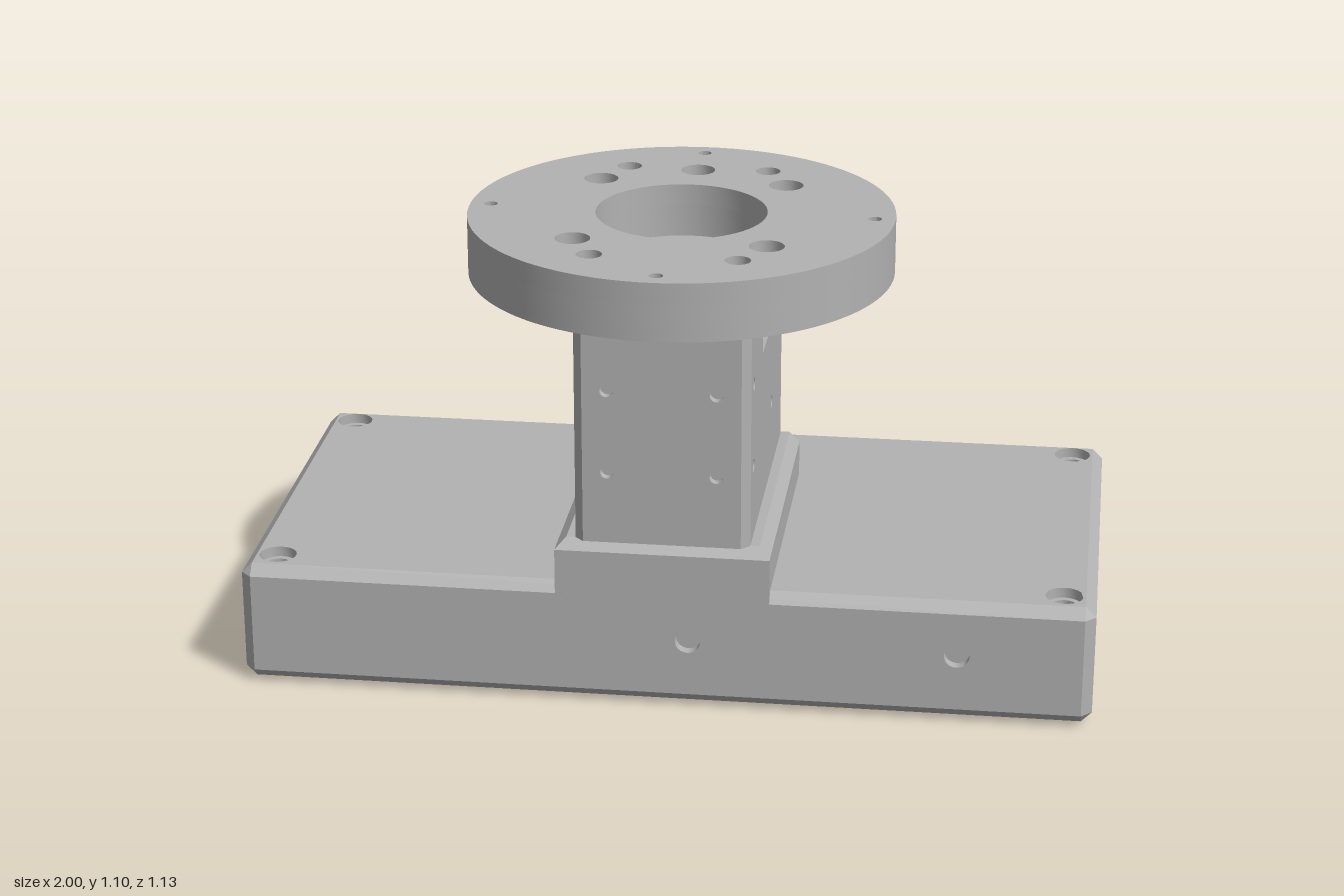
import * as THREE from 'three';
import { toCreasedNormals } from 'three/addons/utils/BufferGeometryUtils.js';

const grey = new THREE.MeshStandardMaterial({ color: 0xb2b2b2 });
grey.name = 'machined grey';

// Outline helpers: lists of [x, z] points
const ring = (x, z, r, n = 24) => Array.from({ length: n }, (_, i) => {
  const a = (i / n) * Math.PI * 2;
  return [x + r * Math.cos(a), z + r * Math.sin(a)];
});
const rect = (x0, z0, x1, z1) => [[x0, z0], [x1, z0], [x1, z1], [x0, z1]];
const octagon = (x0, z0, x1, z1, c, cf = c) => [
  [x0 + c, z0], [x1 - c, z0], [x1, z0 + c], [x1, z1 - cf],
  ...(cf ? [[x1 - cf, z1], [x0 + cf, z1]] : [[x0, z1]]),
  ...(cf ? [[x0, z1 - cf]] : []), [x0, z0 + c]];

function outlineShape(outer, holes) {
  const toPts = (o) => o.map(([x, y]) => new THREE.Vector2(x, y));
  const shape = new THREE.Shape(toPts(outer));
  shape.holes = holes.map((h) => new THREE.Path(toPts(h)));
  return shape;
}

function addMesh(parent, name, geometry) {
  const mesh = new THREE.Mesh(toCreasedNormals(geometry, 0.5), grey);
  mesh.name = name;
  parent.add(mesh);
  return mesh;
}

// Horizontal slab from y0 to y1; taper = {side, box} clamps one end to a smaller box (chamfer)
function slab(parent, name, outer, holes, y0, y1, taper) {
  const g = new THREE.ExtrudeGeometry(outlineShape(outer, holes), { depth: y1 - y0, bevelEnabled: false });
  g.rotateX(Math.PI / 2).translate(0, y1, 0);
  if (taper) {
    const p = g.attributes.position;
    const [x0, z0, x1, z1] = taper.box;
    const mid = (y0 + y1) / 2;
    for (let i = 0; i < p.count; i++) {
      if ((p.getY(i) > mid) !== (taper.side === 'top')) continue;
      p.setX(i, THREE.MathUtils.clamp(p.getX(i), x0, x1));
      p.setZ(i, THREE.MathUtils.clamp(p.getZ(i), z0, z1));
    }
  }
  return addMesh(parent, name, g);
}

// Upright plate facing +z, then turned by angle about y and moved out by dist
function plate(parent, name, outer, holes, thick, dist, angle) {
  const g = new THREE.ExtrudeGeometry(outlineShape(outer, holes), { depth: thick, bevelEnabled: false });
  g.translate(0, 0, dist - thick).rotateY(angle);
  return addMesh(parent, name, g);
}

function buildBase(root) {
  const base = new THREE.Group();
  base.name = 'base';
  root.add(base);
  const c = 0.025;
  const outer = octagon(-1, -0.565, 1, 0.435, c);
  const inset = [-1 + c, -0.565 + c, 1 - c, 0.435 - c];
  const corners = (r, n) => [-0.925, 0.925].flatMap((x) => [-0.495, 0.355].map((z) => ring(x, z, r, n)));
  const slots = [rect(-0.9, 0.04, 0.9, 0.17), rect(-0.9, -0.405, 0.9, -0.275)];

  slab(base, 'bottomChamfer', outer, [...corners(0.044, 6), ...slots], 0.008, 0.033, { side: 'bottom', box: inset });
  slab(base, 'bottomNutLayer', outer, [...corners(0.044, 6), ...slots], 0.033, 0.06);
  slab(base, 'bottomWall', outer, [...corners(0.03), ...slots], 0.06, 0.105);
  // Side walls leave an open channel from end to end
  const holes = corners(0.03);
  slab(base, 'backWall', [[-1 + c, -0.565], [1 - c, -0.565], [1, -0.54], [1, -0.43], [-1, -0.43], [-1, -0.54]],
    [holes[0], holes[2]], 0.105, 0.238);
  slab(base, 'frontWall', rect(-1, 0.17, 1, 0.41), [holes[1], holes[3]], 0.105, 0.238);
  // Front skin with two drilled ports and mitred ends
  const skin = new THREE.ExtrudeGeometry(
    outlineShape(rect(-1, 0.105, 1, 0.238), [ring(0.06, 0.17, 0.03), ring(0.685, 0.17, 0.03)]),
    { depth: c, bevelEnabled: false });
  const p = skin.attributes.position;
  for (let i = 0; i < p.count; i++) {
    if (p.getZ(i) > c / 2) p.setX(i, THREE.MathUtils.clamp(p.getX(i), -1 + c, 1 - c));
  }
  addMesh(base, 'frontSkin', skin.translate(0, 0, 0.41));
  slab(base, 'topWall', outer, corners(0.03), 0.238, 0.275);
  slab(base, 'topChamfer', outer, corners(0.044), 0.275, 0.3, { side: 'top', box: inset });

  // Raised platform under the column, flush with the front
  const step = octagon(-0.25, -0.315, 0.25, 0.435, c, 0);
  slab(base, 'platform', step, [], 0.275, 0.385);
  slab(base, 'platformChamfer', step, [], 0.385, 0.41, { side: 'top', box: [-0.225, -0.29, 0.225, 0.41] });
}

function buildDrive(root) {
  const drive = new THREE.Group();
  drive.name = 'rackDrive';
  root.add(drive);
  // Pinion between two toothed racks
  const teeth = 20;
  const gear = [];
  for (let i = 0; i < teeth; i++) {
    [[0, 0.125], [0.25, 0.125], [0.4, 0.155], [0.7, 0.155], [0.9, 0.125]].forEach(([f, r]) => {
      const a = ((i + f) / teeth) * Math.PI * 2;
      gear.push([r * Math.cos(a), -0.118 + r * Math.sin(a)]);
    });
  }
  slab(drive, 'pinion', gear, [ring(0, -0.118, 0.04)], 0.107, 0.228);
  slab(drive, 'pinionHub', ring(0, -0.125, 0.1, 32), [], 0.228, 0.238);

  const rack = (name, inner, outerZ, x0, x1) => {
    const dir = Math.sign(outerZ - inner);
    const pts = [[x0, outerZ], [x0, inner]];
    for (let x = x0 + 0.02; x < x1 - 0.05; x += 0.05) {
      pts.push([x, inner + dir * 0.03], [x + 0.015, inner + dir * 0.03], [x + 0.027, inner], [x + 0.04, inner]);
    }
    pts.push([x1, inner], [x1, outerZ]);
    slab(drive, name, pts, [], 0.107, 0.228);
  };
  rack('frontRack', 0.042, 0.166, -0.67, 0.63);
  rack('backRack', -0.278, -0.4, -0.67, 0.63);
  // Sliding feet that reach down through the slots
  for (const x of [-0.545, 0.505]) {
    for (const z of [0.105, -0.34]) {
      slab(drive, 'slidingFoot', rect(x - 0.125, z - 0.062, x + 0.125, z + 0.062),
        [ring(x - 0.05, z, 0.022), ring(x + 0.05, z, 0.022)], 0, 0.107);
    }
  }
}

function buildColumn(root) {
  const column = new THREE.Group();
  column.name = 'column';
  column.position.z = 0.067;
  root.add(column);
  const y0 = 0.41, y1 = 0.958, t = 0.02, hx = 0.203, hz = 0.365;
  const ix = hx - t, iz = hz - t;
  // Core with a side notch, open right through near the top
  slab(column, 'core', rect(-ix, -iz, ix, iz), [], y0, 0.79);
  slab(column, 'notchedCore', [[-ix, -iz], [ix, -iz], [ix, -0.065], [0.06, -0.065], [0.06, 0.098],
    [ix, 0.098], [ix, iz], [-ix, iz]], [], 0.79, 0.905);
  slab(column, 'upperBackCore', rect(-ix, -iz, ix, -0.065), [], 0.905, y1);
  slab(column, 'upperFrontCore', [[-ix, 0.038], [0.06, 0.038], [0.06, 0.098], [ix, 0.098], [ix, iz], [-ix, iz]],
    [], 0.905, y1);
  slab(column, 'cableLip', rect(-ix, -0.065, -0.1, -0.032), [], 0.935, y1);
  // Drilled skins on the four faces
  const drills = (us) => us.flatMap((u) => [0.585, 0.785].map((y) => ring(u, y, 0.016, 16)));
  const notched = (w, a, b, yb) => [[-w, y0], [w, y0], [w, y1], [b, y1], [b, yb], [a, yb], [a, y1], [-w, y1]];
  plate(column, 'frontSkin', rect(-ix, y0, ix, y1), drills([-0.126, 0.126]), t, hz, 0);
  plate(column, 'backSkin', rect(-ix, y0, ix, y1), drills([-0.126, 0.126]), t, hz, Math.PI);
  plate(column, 'rightSkin', notched(iz, -0.098, 0.065, 0.79), drills([-0.283, 0.117]), t, hx, Math.PI / 2);
  plate(column, 'leftSkin', notched(iz, -0.065, 0.038, 0.905), drills([0.283, -0.117]), t, hx, -Math.PI / 2);
  // Chamfered corner strips
  for (const sx of [-1, 1]) {
    for (const sz of [-1, 1]) {
      slab(column, 'cornerStrip', [[sx * ix, sz * iz], [sx * hx, sz * iz], [sx * ix, sz * hz]], [], y0, y1);
    }
  }
}

function buildFlange(root) {
  const flange = new THREE.Group();
  flange.name = 'flange';
  flange.position.z = 0.065;
  root.add(flange);
  const disc = ring(0, 0, 0.498, 96);
  // Bolt, dowel and screw hole patterns
  const through = [
    ...[[0, -0.315], [0.222, -0.222], [-0.222, -0.222], [0.222, 0.222], [-0.222, 0.222]].map(([x, z]) => ring(x, z, 0.041)),
    ...[[0, -0.45], [0.45, 0], [-0.45, 0], [0, 0.45]].map(([x, z]) => ring(x, z, 0.016, 16)),
  ];
  const screws = (r) => [-0.168, 0.168].flatMap((x) => [-0.326, 0.326].map((z) => ring(x, z, r, 20)));
  slab(flange, 'flangeFloor', disc, [...through, ...screws(0.016)], 0.958, 0.968);
  slab(flange, 'flangeLower', disc, [...through, ...screws(0.016), ring(0, 0, 0.2, 64)], 0.968, 1.045);
  slab(flange, 'flangeUpper', disc, [...through, ...screws(0.03), ring(0, 0, 0.2, 64)], 1.045, 1.096);
}

export function createModel() {
  const root = new THREE.Group();
  root.name = 'grippingUnit';
  buildBase(root);
  buildDrive(root);
  buildColumn(root);
  buildFlange(root);
  root.position.z = 0.0;
  return root;
}
